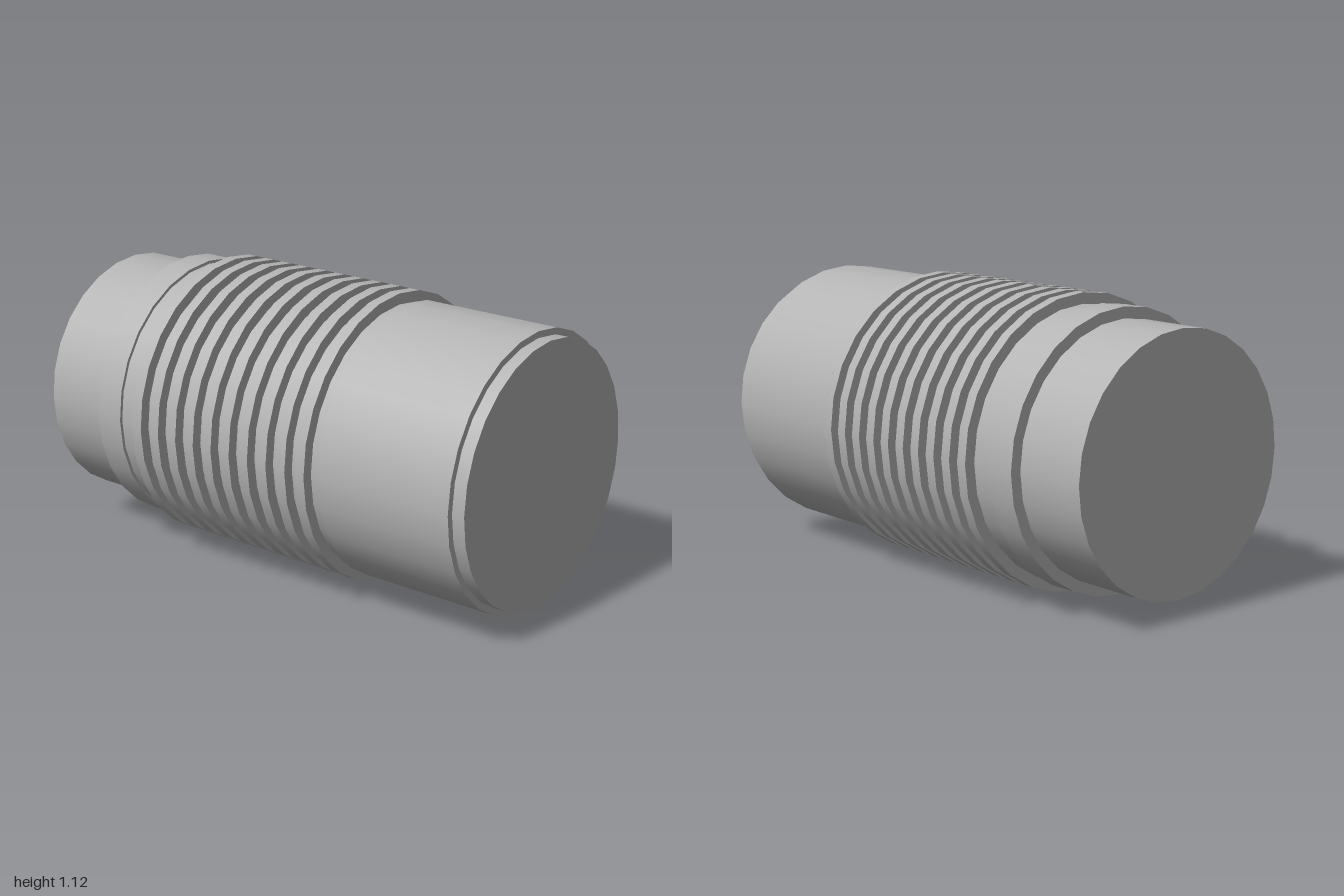
import * as THREE from 'three';

const SIDES = 28;
const AXIS_Y = 0.558;

export function createModel() {
  const model = new THREE.Group();
  model.name = 'corrugatedCoupling';
  const grey = new THREE.MeshStandardMaterial({ color: 0xb4b4b4 });
  grey.name = 'grey';

  // A round section lying along z, between two z positions
  const section = (name, radius, zBack, zFront, parent = model) => {
    const geometry = new THREE.CylinderGeometry(radius, radius, zFront - zBack, SIDES);
    geometry.rotateX(Math.PI / 2);
    const mesh = new THREE.Mesh(geometry, grey);
    mesh.name = name;
    mesh.position.set(0, AXIS_Y, (zBack + zFront) / 2);
    parent.add(mesh);
  };

  // Stepped body from front to back
  section('frontLip', 0.503, 0.95, 1);
  section('frontSleeve', 0.528, 0.385, 0.95);
  section('bellowsCore', 0.516, -0.59, 0.385);
  section('rearCollar', 0.528, -0.705, -0.59);
  section('rearSpigot', 0.485, -1, -0.705);

  // Evenly spaced raised ribs around the core
  const ribs = new THREE.Group();
  ribs.name = 'ribs';
  model.add(ribs);
  for (let i = 0; i < 10; i++) {
    const zFront = 0.345 - i * 0.0885;
    section(`rib${i + 1}`, 0.558, zFront - 0.044, zFront, ribs);
  }
  return model;
}
